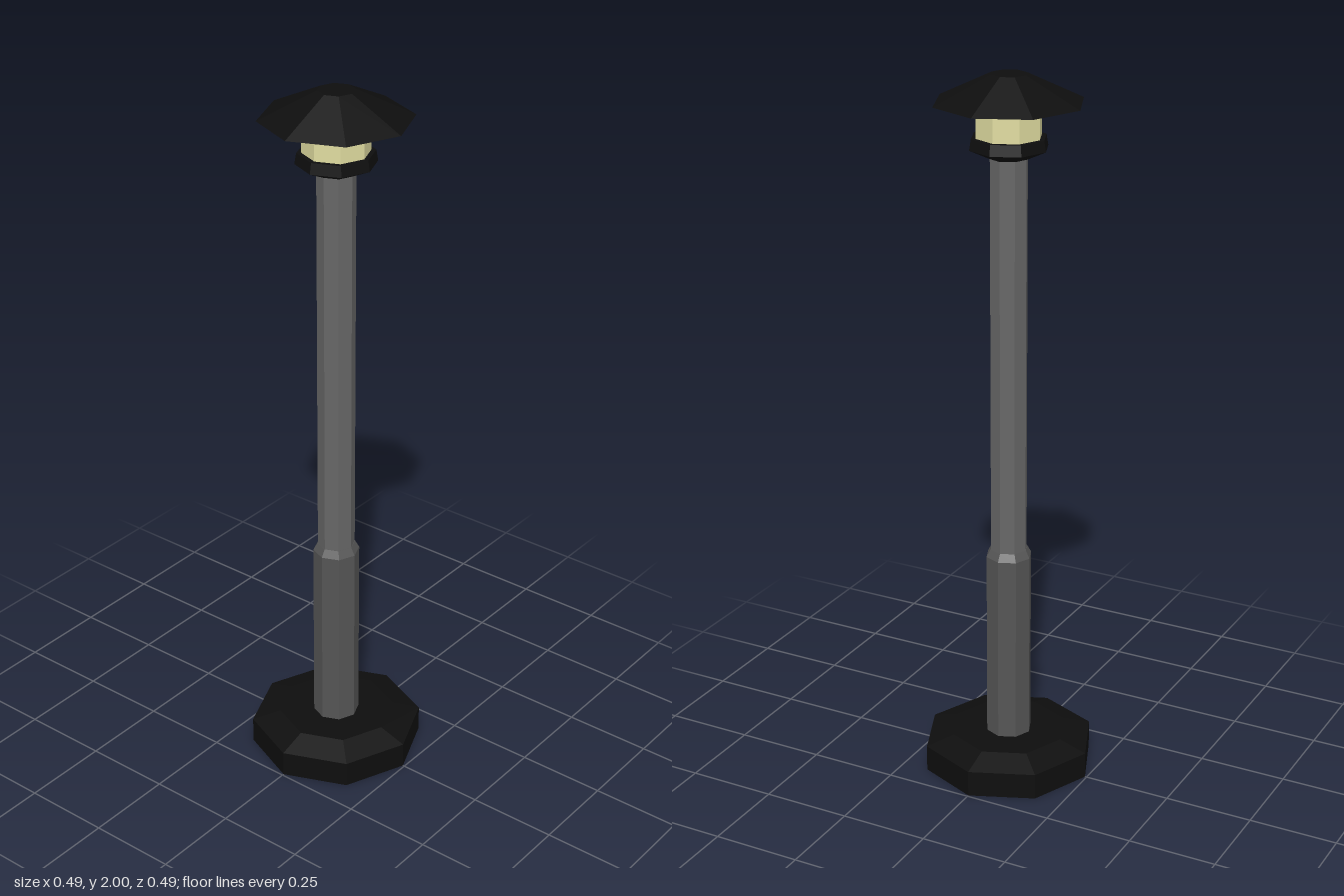
import * as THREE from 'three';

const SIDES = 8;

const material = (color) => new THREE.MeshStandardMaterial({ color, flatShading: true });

// Faceted turned part from [radius, height] points, bottom to top, closed on the axis
function turned(name, points, mat) {
  const profile = [[0, points[0][1]], ...points, [0, points[points.length - 1][1]]];
  const geometry = new THREE.LatheGeometry(profile.map(([r, y]) => new THREE.Vector2(r, y)), SIDES);
  const mesh = new THREE.Mesh(geometry, mat);
  mesh.name = name;
  return mesh;
}

export function createModel() {
  const group = new THREE.Group();
  group.name = 'lampPost';

  const black = material(0x0e0e0e);
  const darkGrey = material(0x555555);
  const grey = material(0x666666);
  const glow = material(0xe0dca0);

  group.add(
    // Foot with a bevelled top edge
    turned('base', [[0.245, 0], [0.245, 0.075], [0.165, 0.1]], black),
    // Thick lower sleeve and slim pole
    turned('sleeve', [[0.065, 0.09], [0.065, 0.645], [0.053, 0.667]], darkGrey),
    turned('pole', [[0.052, 0.64], [0.052, 1.79]], grey),
    // Lantern: collar, glass and roof
    turned('collar', [[0.055, 1.78], [0.108, 1.805], [0.103, 1.835]], black),
    turned('lampGlass', [[0.09, 1.83], [0.09, 1.93]], glow),
    turned('roof', [[0.205, 1.925], [0.05, 2]], black),
  );
  return group;
}
